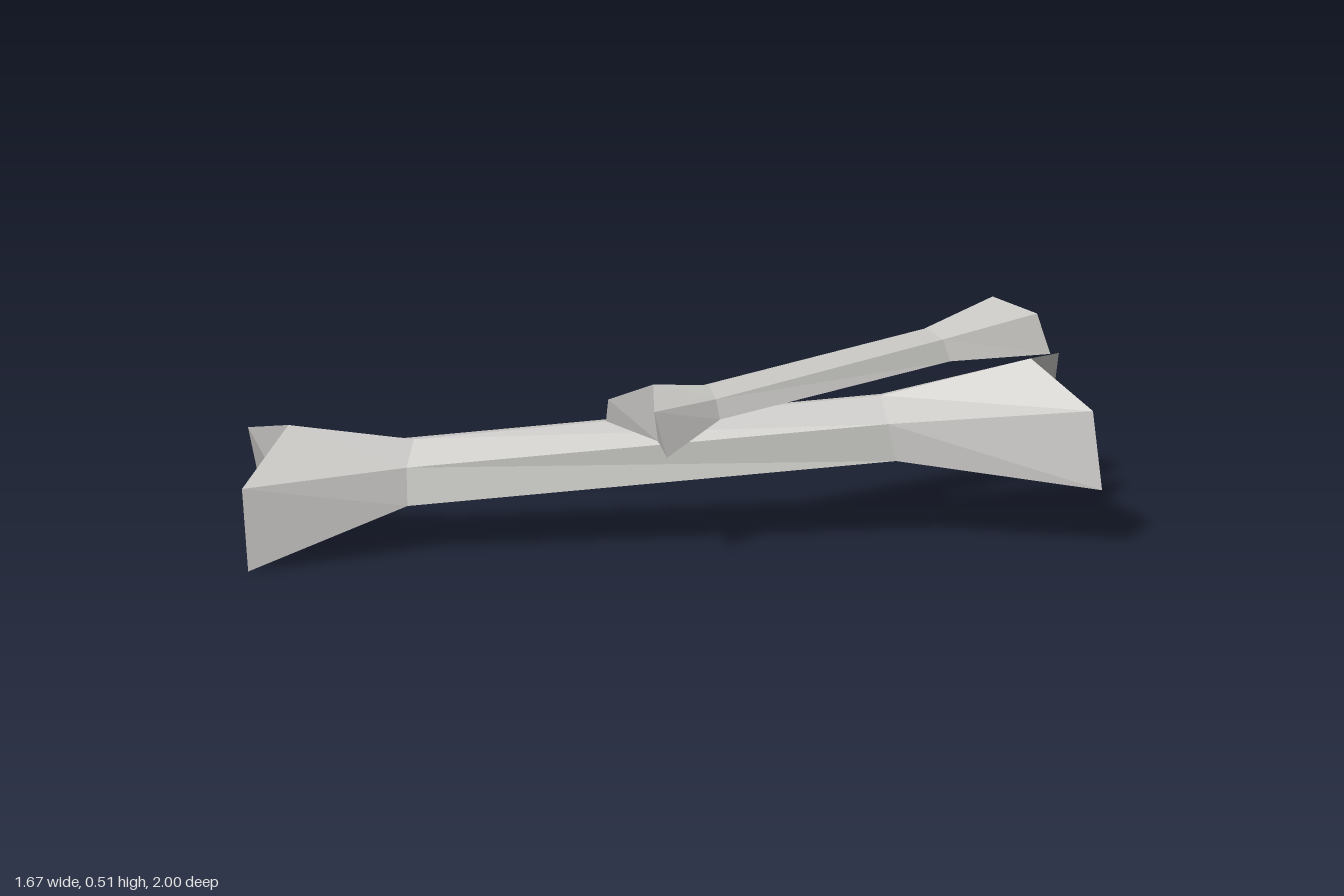
import * as THREE from 'three';

const boneGrey = new THREE.MeshStandardMaterial({ color: 0xcbcac7, flatShading: true });
boneGrey.name = 'boneGrey';

// Skins four six-sided rings (front to back). Each ring runs: lower right,
// upper right, top ridge, upper left, lower left, underside middle.
function makeBone(name, rings) {
  const positions = [];
  const tri = (a, b, c) => positions.push(...a, ...b, ...c);

  // flared ends and shaft
  for (let r = 0; r < rings.length - 1; r++) {
    const near = rings[r], far = rings[r + 1];
    for (let i = 0; i < 6; i++) {
      const j = (i + 1) % 6;
      tri(near[i], near[j], far[j]);
      tri(near[i], far[j], far[i]);
    }
  }

  // end caps, folded in towards the underside middle
  const first = rings[0], last = rings[rings.length - 1];
  for (let i = 0; i < 4; i++) {
    tri(first[5], first[i + 1], first[i]);
    tri(last[5], last[i], last[i + 1]);
  }

  const geometry = new THREE.BufferGeometry();
  geometry.setAttribute('position', new THREE.Float32BufferAttribute(positions, 3));
  geometry.computeVertexNormals();
  const mesh = new THREE.Mesh(geometry, boneGrey);
  mesh.name = name;
  return mesh;
}

export function createModel() {
  const group = new THREE.Group();
  group.name = 'crossedBones';

  // long bone lying underneath
  group.add(makeBone('longBone', [
    [[-0.84, 0.10, 0.69], [-0.76, 0.26, 0.77], [-0.54, 0.31, 0.80], [-0.475, 0.195, 0.985], [-0.44, 0, 1], [-0.57, 0.06, 0.76]],
    [[-0.49, 0.16, 0.48], [-0.45, 0.245, 0.515], [-0.36, 0.265, 0.555], [-0.32, 0.21, 0.61], [-0.30, 0.12, 0.625], [-0.395, 0.14, 0.55]],
    [[0.22, 0.245, -0.48], [0.28, 0.33, -0.44], [0.345, 0.348, -0.37], [0.42, 0.297, -0.315], [0.44, 0.205, -0.325], [0.33, 0.225, -0.40]],
    [[0.43, 0.25, -0.94], [0.51, 0.41, -0.86], [0.59, 0.44, -0.65], [0.79, 0.34, -0.65], [0.835, 0.15, -0.64], [0.58, 0.195, -0.695]],
  ]));

  // short bone resting across the top
  group.add(makeBone('shortBone', [
    [[-0.07, 0.30, 0.18], [-0.05, 0.36, 0.19], [0.065, 0.41, 0.145], [0.155, 0.37, 0.225], [0.20, 0.265, 0.225], [0.065, 0.265, 0.13]],
    [[0.03, 0.33, -0.02], [0.045, 0.375, -0.02], [0.10, 0.39, -0.01], [0.145, 0.365, 0.01], [0.17, 0.32, 0.02], [0.10, 0.325, 0]],
    [[0.15, 0.385, -0.71], [0.165, 0.435, -0.70], [0.213, 0.455, -0.68], [0.265, 0.432, -0.69], [0.29, 0.378, -0.69], [0.22, 0.38, -0.70]],
    [[0.125, 0.375, -1], [0.165, 0.475, -0.98], [0.25, 0.515, -0.90], [0.365, 0.48, -0.945], [0.41, 0.378, -0.95], [0.27, 0.37, -0.89]],
  ]));

  return group;
}
